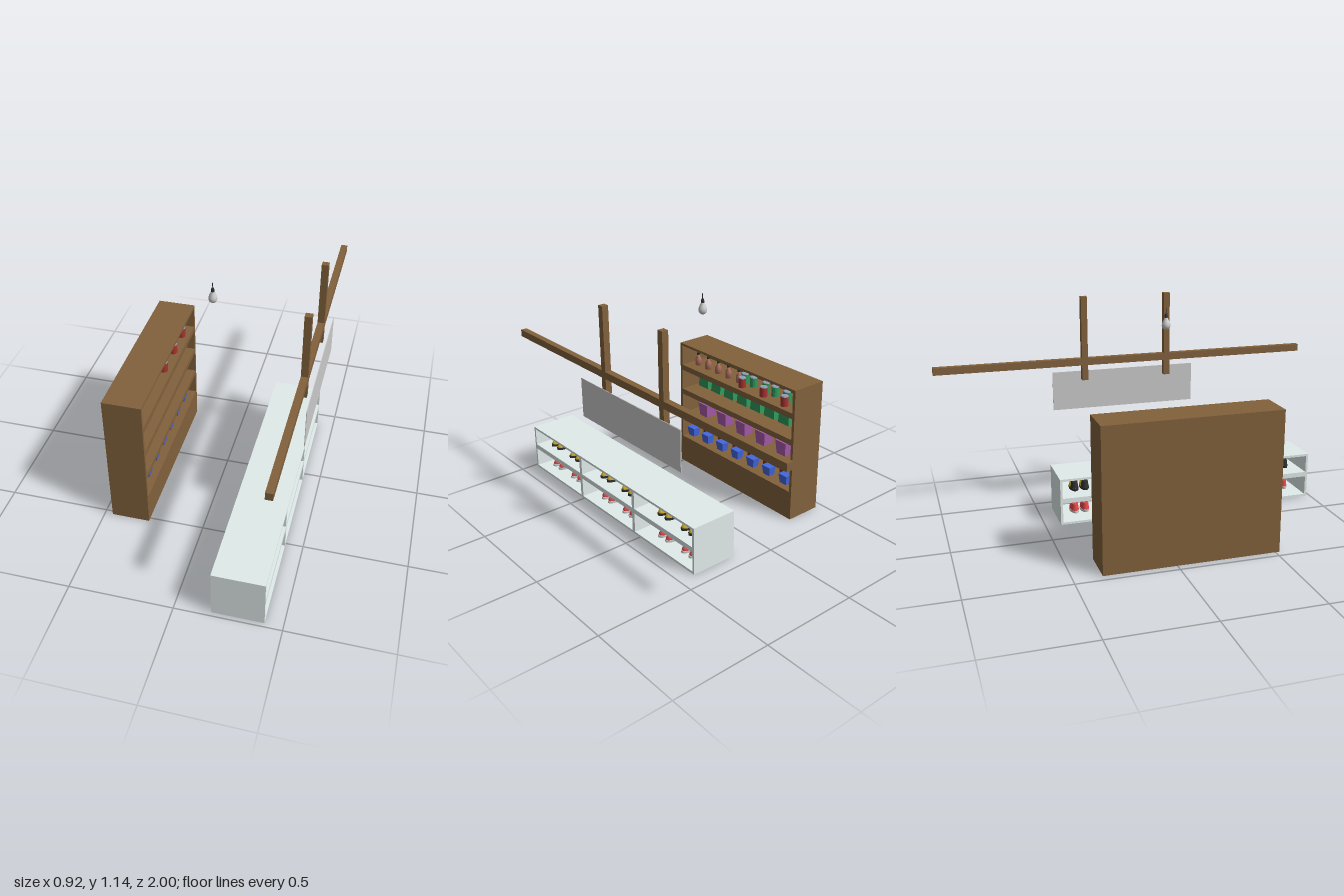
import * as THREE from 'three';

const mat = (color, flat = false) =>
  new THREE.MeshStandardMaterial({ color, flatShading: flat, side: THREE.DoubleSide });
const WOOD = mat(0x82613c), COUNTER = mat(0xe1ecea), GREY = mat(0xcccccc), DARK = mat(0x2e2e2e);
const GREEN = mat(0x2f9a5c, true), PURPLE = mat(0xa85cac, true), BLUE = mat(0x4468e0, true);
const RED = mat(0xe04848), MAROON = mat(0x7c3428), YELLOW = mat(0xe0b820), PINK = mat(0xb0705f);
const WHITE = mat(0xd8d8d8), CAN_LID = mat(0x8fa0b4), CAN_RED = mat(0xa83430);

function add(parent, name, geo, material, x = 0, y = 0, z = 0) {
  const m = new THREE.Mesh(geo, material);
  m.name = name;
  m.position.set(x, y, z);
  parent.add(m);
  return m;
}

// Box given by its limits on each axis
function box(parent, name, material, x0, x1, y0, y1, z0, z1) {
  return add(parent, name, new THREE.BoxGeometry(x1 - x0, y1 - y0, z1 - z0), material,
    (x0 + x1) / 2, (y0 + y1) / 2, (z0 + z1) / 2);
}

// Four-sided tapered block standing on its base
function taper(bottom, top, h, depth) {
  const g = new THREE.CylinderGeometry(top / Math.SQRT2, bottom / Math.SQRT2, h, 4);
  g.rotateY(Math.PI / 4);
  g.scale(depth / Math.max(top, bottom), 1, 1);
  g.translate(0, h / 2, 0);
  return g;
}

const lathe = (pts, n = 16) => new THREE.LatheGeometry(pts.map(p => new THREE.Vector2(...p)), n);

function group(parent, name, x = 0, y = 0, z = 0) {
  const g = new THREE.Group();
  g.name = name;
  g.position.set(x, y, z);
  parent.add(g);
  return g;
}

function buildBookcase(root) {
  const g = group(root, 'bookcase');
  const x0 = -0.46, x1 = -0.27, z0 = -0.36, z1 = 0.52, t = 0.015;
  box(g, 'backPanel', WOOD, x0, x0 + 0.012, 0, 0.715, z0, z1);
  box(g, 'leftSide', WOOD, x0, x1, 0, 0.715, z0, z0 + t);
  box(g, 'rightSide', WOOD, x0, x1, 0, 0.715, z1 - t, z1);
  box(g, 'topBoard', WOOD, x0, x1, 0.702, 0.715, z0, z1);
  box(g, 'base', WOOD, x0, x1, 0, 0.155, z0, z1);
  for (const [a, b] of [[0.273, 0.3], [0.417, 0.447], [0.56, 0.59]])
    box(g, 'shelf', WOOD, x0, x1, a, b, z0 + t, z1 - t);
}

// Goods standing on the bookcase shelves
function buildGoods(root) {
  const g = group(root, 'shelfGoods');
  const bottle = lathe([[0, 0], [0.017, 0], [0.017, 0.036], [0.007, 0.048], [0.007, 0.062], [0, 0.062]], 12);
  for (let i = 0; i < 5; i++) {
    const b = group(g, 'bottle', -0.34, 0.59, 0.45 - i * 0.083);
    add(b, 'bottleBody', bottle, PINK);
    add(b, 'bottleCap', new THREE.CylinderGeometry(0.008, 0.008, 0.01, 12), DARK, 0, 0.064, 0);
  }
  // Clusters of two cans behind and one in front
  for (const z of [0.06, -0.1, -0.25])
    for (const [dx, dz, m] of [[0, 0.033, GREEN], [0, -0.033, GREEN], [0.05, 0, CAN_RED]]) {
      const c = group(g, 'can', -0.36 + dx, 0.59, z + dz);
      add(c, 'canBody', new THREE.CylinderGeometry(0.02, 0.02, 0.05, 14), m, 0, 0.025, 0);
      add(c, 'canLid', new THREE.CylinderGeometry(0.018, 0.02, 0.005, 14), CAN_LID, 0, 0.0525, 0);
    }
  for (let i = 0; i < 8; i++)
    add(g, 'greenBox', taper(0.077, 0.069, 0.06, 0.07), GREEN, -0.405, 0.447, 0.445 - i * 0.1055);
  for (let i = 0; i < 5; i++)
    add(g, 'purpleBin', taper(0.06, 0.074, 0.076, 0.07), PURPLE, -0.355, 0.3, 0.39 - i * 0.153);
  for (let i = 0; i < 7; i++) {
    const z = 0.475 - i * 0.123;
    add(g, 'bluePack', taper(0.045, 0.058, 0.05, 0.045), BLUE, -0.325, 0.155, z);
    add(g, 'redJar', new THREE.CylinderGeometry(0.022, 0.022, 0.08, 14), MAROON, -0.385, 0.195, z - 0.05);
  }
}

function buildShoe(parent, z, y, upperMat, soleMat, collarMat) {
  const s = group(parent, 'shoe', 0.31, y, z);
  const sole = new THREE.CylinderGeometry(0.024, 0.024, 0.012, 16);
  sole.scale(2.2, 1, 1);
  add(s, 'sole', sole, soleMat, 0, 0.006, 0);
  const toe = new THREE.SphereGeometry(0.023, 14, 6, 0, Math.PI * 2, 0, Math.PI / 2);
  toe.scale(2.1, 1.35, 1);
  add(s, 'upper', toe, upperMat, 0, 0.012, 0);
  const collar = new THREE.CylinderGeometry(0.016, 0.021, 0.034, 14);
  collar.scale(1.3, 1, 1);
  add(s, 'collar', collar, collarMat, -0.022, 0.03, 0);
  box(s, 'strap', collarMat, 0.004, 0.016, 0.03, 0.043, -0.014, 0.014);
}

function buildCounter(root) {
  const g = group(root, 'displayCounter');
  const x0 = 0.17, x1 = 0.415, z0 = -0.42, z1 = 0.98, t = 0.012;
  box(g, 'counterTop', COUNTER, x0, x1, 0.248 - t, 0.248, z0, z1);
  box(g, 'counterBottom', COUNTER, x0, x1, 0, t, z0, z1);
  box(g, 'middleShelf', COUNTER, x0, x1, 0.117, 0.143, z0 + t, z1 - t);
  for (const z of [z0, z1 - t]) box(g, 'endPanel', COUNTER, x0, x1, t, 0.248 - t, z, z + t);
  for (const z of [0.515, 0.05])
    box(g, 'divider', COUNTER, x0, x1, t, 0.248 - t, z - 0.01, z + 0.01);
  // Pairs of shoes on both levels
  for (const z of [0.862, 0.678, 0.377, 0.19, -0.113, -0.292])
    for (const d of [-0.028, 0.028]) {
      buildShoe(g, z + d, 0.143, YELLOW, DARK, DARK);
      buildShoe(g, z + d, 0.018, RED, WHITE, RED);
    }
}

function buildHangingFrame(root) {
  const g = group(root, 'hangingFrame');
  box(g, 'beam', WOOD, 0.4, 0.433, 0.783, 0.82, -1, 1);
  for (const z of [0.226, -0.222])
    box(g, 'post', WOOD, 0.4, 0.433, 0.703, 1.142, z - 0.016, z + 0.016);
  box(g, 'signPanel', GREY, 0.4555, 0.4585, 0.537, 0.742, -0.386, 0.386);
}

function buildLamp(root) {
  const g = group(root, 'hangingBulb', -0.052, 0, 0.072);
  add(g, 'glassBulb', lathe([[0, 1.037], [0.009, 1.039], [0.017, 1.046], [0.021, 1.057], [0.02, 1.068],
    [0.015, 1.081], [0.01, 1.091], [0.008, 1.1]], 20), GREY);
  add(g, 'socket', new THREE.CylinderGeometry(0.006, 0.009, 0.018, 14), DARK, 0, 1.106, 0);
  add(g, 'cord', new THREE.CylinderGeometry(0.002, 0.002, 0.03, 8), DARK, 0, 1.127, 0);
}

export function createModel() {
  const root = new THREE.Group();
  root.name = 'shopInterior';
  buildBookcase(root);
  buildGoods(root);
  buildCounter(root);
  buildHangingFrame(root);
  buildLamp(root);
  return root;
}
